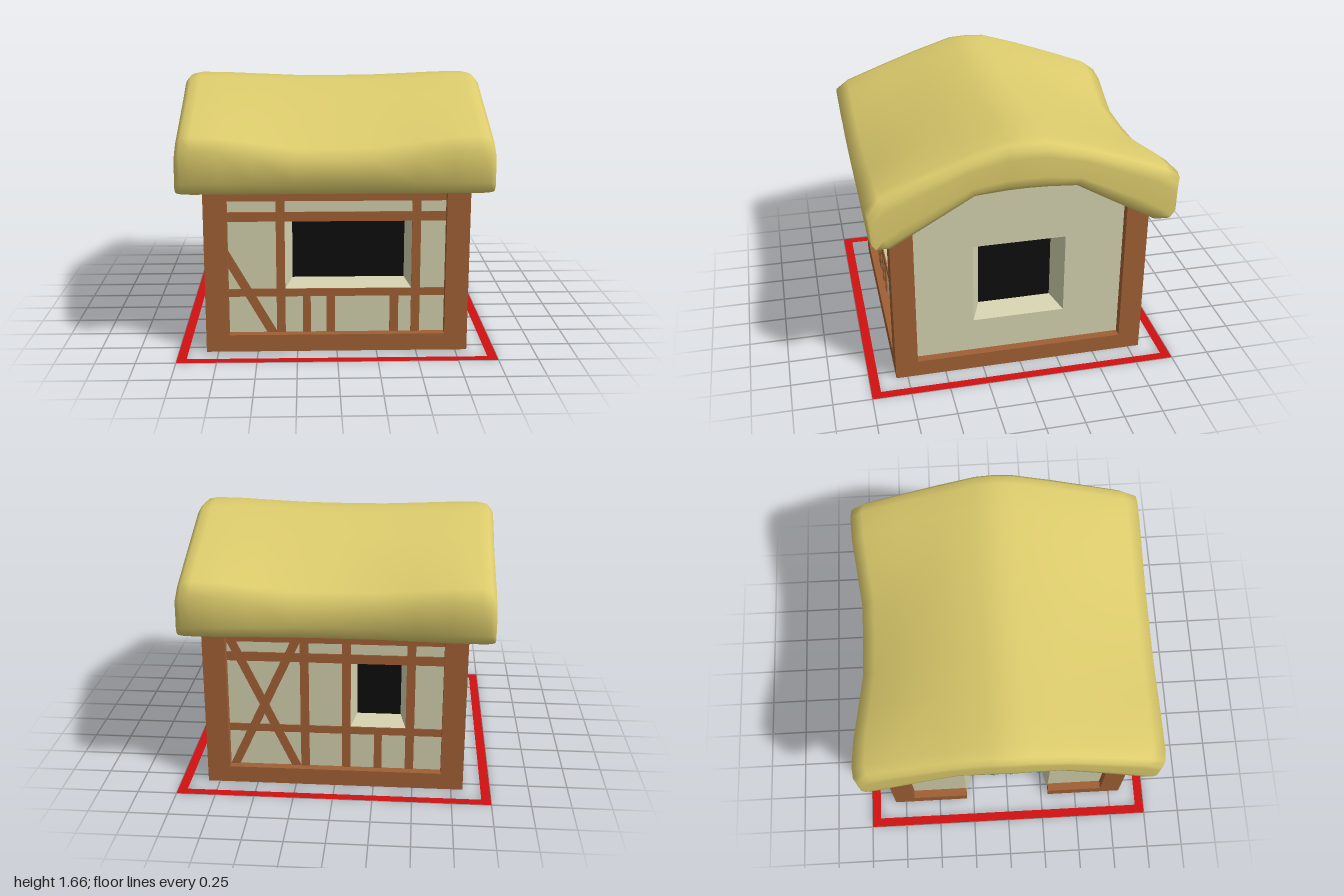
import * as THREE from 'three';

const material = (name, color, side = THREE.FrontSide) => {
  const m = new THREE.MeshStandardMaterial({ color, side });
  m.name = name;
  return m;
};

export function createModel() {
  const plaster = material('plaster', 0xd2d0ad, THREE.DoubleSide);
  const timber = material('timber', 0xa06035);
  const thatch = material('thatch', 0xdccb6c);
  const green = material('green wood', 0x2f9063);
  const dark = material('dark opening', 0x0d0d0d);
  const red = material('red border', 0xd01010, THREE.DoubleSide);

  const house = new THREE.Group();
  house.name = 'cottage';
  const add = (parent, name, geometry, mat, x = 0, y = 0, z = 0) => {
    const mesh = new THREE.Mesh(geometry, mat);
    mesh.name = name;
    mesh.position.set(x, y, z);
    parent.add(mesh);
    return mesh;
  };
  const box = (parent, name, mat, x0, x1, y0, y1, z0, z1) =>
    add(parent, name, new THREE.BoxGeometry(x1 - x0, y1 - y0, z1 - z0), mat,
      (x0 + x1) / 2, (y0 + y1) / 2, (z0 + z1) / 2);
  const shapeOf = pts => new THREE.Shape(pts.map(p => new THREE.Vector2(...p)));
  const rect = (x0, x1, y0, y1) => [[x0, y0], [x1, y0], [x1, y1], [x0, y1]];

  const OUT = 0.825, IN = 0.68, WALL = 0.77, BACK = 0.63;

  // One wall panel with a splayed opening, in a group turned to its side
  function wall(name, angle, gable, hole, inner) {
    const g = new THREE.Group();
    g.name = name;
    g.rotation.y = angle;
    house.add(g);
    const [x0, x1, y0, y1] = hole, [a0, a1, b0, b1] = inner;
    const top = gable
      ? [[WALL, 1.1], [0.5, 1.26], [0.31, 1.4], [-0.31, 1.4], [-0.5, 1.26], [-WALL, 1.1]]
      : [[WALL, 1.1], [-WALL, 1.1]];
    const isDoor = y0 === 0;
    const notch = isDoor ? [[x0, 0], [x0, y1], [x1, y1], [x1, 0]] : [];
    const s = shapeOf([[-WALL, 0], ...notch, [WALL, 0], ...top]);
    if (!isDoor) s.holes.push(shapeOf(rect(...hole)));
    add(g, 'plaster panel', new THREE.ShapeGeometry(s), plaster, 0, 0, WALL);
    // Splayed sides of the opening
    const o = rect(x0, x1, y0, y1), n = rect(a0, a1, b0, b1), pos = [];
    for (let i = isDoor ? 1 : 0; i < 4; i++) {
      const j = (i + 1) % 4;
      const A = [...o[i], WALL], B = [...o[j], WALL], C = [...n[j], BACK], D = [...n[i], BACK];
      pos.push(...A, ...B, ...C, ...A, ...C, ...D);
    }
    const reveal = new THREE.BufferGeometry();
    reveal.setAttribute('position', new THREE.Float32BufferAttribute(pos, 3));
    reveal.computeVertexNormals();
    add(g, 'opening reveal', reveal, plaster);
    if (!isDoor) box(g, 'window pane', dark, a0, a1, b0, b1, BACK - 0.008, BACK);
    return g;
  }

  const front = wall('front wall', 0, false, [-0.325, 0.47, 0.4, 0.84], [-0.28, 0.435, 0.43, 0.81]);
  wall('window gable', Math.PI / 2, true, [-0.3, 0.3, 0.34, 0.895], [-0.24, 0.24, 0.38, 0.845]);
  const back = wall('back wall', Math.PI, false, [0.1, 0.45, 0.4, 0.84], [0.135, 0.415, 0.43, 0.81]);
  const doorWall = wall('door gable', -Math.PI / 2, true, [-0.3, 0.3, 0, 0.91], [-0.26, 0.26, 0, 0.86]);

  // Flat timbers on the long walls
  const beams = (parent, list) => list.forEach(pts => add(parent, 'wall timber',
    new THREE.ExtrudeGeometry(shapeOf(pts), { depth: 0.008, bevelEnabled: false }), timber, 0, 0, WALL));
  const rails = [rect(-IN, IN, 0.97, 1.08), rect(-IN, IN, 0.84, 0.9), rect(-IN, IN, 0.35, 0.4)];
  beams(front, [
    ...rails,
    rect(-0.38, -0.325, 0.11, 1), rect(0.47, 0.525, 0.11, 1),
    rect(-0.215, -0.165, 0.11, 0.36), rect(-0.065, -0.01, 0.11, 0.36), rect(0.335, 0.39, 0.11, 0.36),
    [[-IN, 0.54], [-0.44, 0.11], [-0.375, 0.11], [-IN, 0.655]],
  ]);
  beams(back, [
    ...rails,
    rect(-0.22, -0.165, 0.11, 1), rect(0.045, 0.1, 0.11, 1), rect(0.45, 0.505, 0.11, 1),
    rect(0.25, 0.3, 0.11, 0.36),
    [[-IN, 0.11], [-0.62, 0.11], [-0.22, 0.97], [-0.28, 0.97]],
    [[-0.28, 0.11], [-0.22, 0.11], [-0.62, 0.97], [-IN, 0.97]],
  ]);

  // Corner posts
  for (const x of [-1, 1]) for (const z of [-1, 1]) {
    const c = (OUT + IN) / 2, w = OUT - IN;
    add(house, 'corner post', new THREE.BoxGeometry(w, 1.11, w), timber, x * c, 0.555, z * c);
  }

  // Sill beams, open at the door, and the floor
  box(house, 'front sill', timber, -IN, IN, 0, 0.11, IN, OUT);
  box(house, 'back sill', timber, -IN, IN, 0, 0.11, -OUT, -IN);
  box(house, 'window side sill', timber, IN, OUT, 0, 0.11, -IN, IN);
  box(house, 'door side sill', timber, -OUT, -IN, 0, 0.11, 0.3, IN);
  box(house, 'door side sill', timber, -OUT, -IN, 0, 0.11, -IN, -0.3);
  box(house, 'floor', plaster, -BACK, IN, 0, 0.02, -IN, IN);
  for (const s of [-1, 1]) box(house, 'floor edge', plaster, -IN, -BACK, 0, 0.02,
    s > 0 ? 0.3 : -IN, s > 0 ? IN : -0.3);

  // Door of uneven planks
  box(doorWall, 'door backing', green, -0.26, 0.26, 0.015, 0.86, BACK - 0.03, BACK - 0.012);
  for (let i = 0; i < 9; i++) {
    const u = -0.26 + 0.52 * (i + 0.5) / 9, foot = 0.012 * ((i * 5) % 3);
    const plank = add(doorWall, 'door plank', new THREE.BoxGeometry(0.06, 0.86 - foot, 0.024), green,
      u, (0.86 + foot) / 2, BACK + 0.008 * ((i * 7) % 3));
    plank.rotation.y = i % 2 ? 0.22 : -0.22;
  }

  // Thatched roof: pairs of outer and under points [z, y, z, y] from ridge to eave
  const half = [
    [0, 1.665, 0, 1.35], [0.12, 1.66, 0.12, 1.345], [0.38, 1.58, 0.31, 1.33], [0.65, 1.485, 0.5, 1.215],
    [0.89, 1.395, 0.68, 1.11], [0.975, 1.33, 0.82, 1.03], [0.955, 1.12, 0.9, 1.045],
  ];
  const pairs = [...half.slice(1).reverse().map(p => [-p[0], p[1], -p[2], p[3]]), ...half];
  const N = pairs.length, M = 2 * N;
  const stations = [[0.965, 0.6], [0.96, 0.3], [0.93, 0.08], [0.87, 0], [0.7, 0], [0.5, 0], [0.25, 0]];
  const rows = [...stations.map(([x, t]) => [-x, t]), [0, 0], ...stations.slice().reverse()];
  const pos = [], index = [];
  for (const [x, t] of rows) {
    const sag = 1 - THREE.MathUtils.smoothstep(Math.abs(x), 0.15, 0.85);
    const put = (z, y, mz, my, outer) => {
      z += (mz - z) * t;
      y += (my - y) * t;
      const edge = THREE.MathUtils.clamp((Math.abs(z) - 0.4) / 0.5, 0, 1);
      if (outer && y > 1.2) y -= sag * (0.025 + 0.05 * edge);
      if (z < 0) z += 0.07 * sag * edge * (outer ? 1 : 0.4);
      const bulge = 1 + 0.015 * Math.max(0, 1 - Math.abs(z) / 0.4);
      pos.push(x * bulge - 0.012, y, z);
    };
    for (const [a, b, c, d] of pairs) put(a, b, (a + c) / 2, (b + d) / 2, true);
    for (const [a, b, c, d] of pairs.slice().reverse()) put(c, d, (a + c) / 2, (b + d) / 2, false);
  }
  for (let r = 0; r < rows.length - 1; r++) for (let i = 0; i < M; i++) {
    const a = r * M + i, b = r * M + (i + 1) % M, c = a + M, d = b + M;
    index.push(a, b, d, a, d, c);
  }
  // Rounded ends closed between the outer and under edges
  const last = (rows.length - 1) * M;
  for (let i = 0; i < N - 1; i++) {
    const a = i, b = i + 1, c = M - 2 - i, d = M - 1 - i;
    index.push(a, c, b, a, d, c);
    index.push(last + a, last + b, last + c, last + a, last + c, last + d);
  }
  const roof = new THREE.BufferGeometry();
  roof.setAttribute('position', new THREE.Float32BufferAttribute(pos, 3));
  roof.setIndex(index);
  roof.computeVertexNormals();
  add(house, 'thatched roof', roof, thatch);

  // Flat square border on the ground
  const border = shapeOf(rect(-1, 1, -1, 1));
  border.holes.push(shapeOf(rect(-0.94, 0.94, -0.94, 0.94)));
  add(house, 'ground border', new THREE.ShapeGeometry(border).rotateX(-Math.PI / 2), red);

  return house;
}
